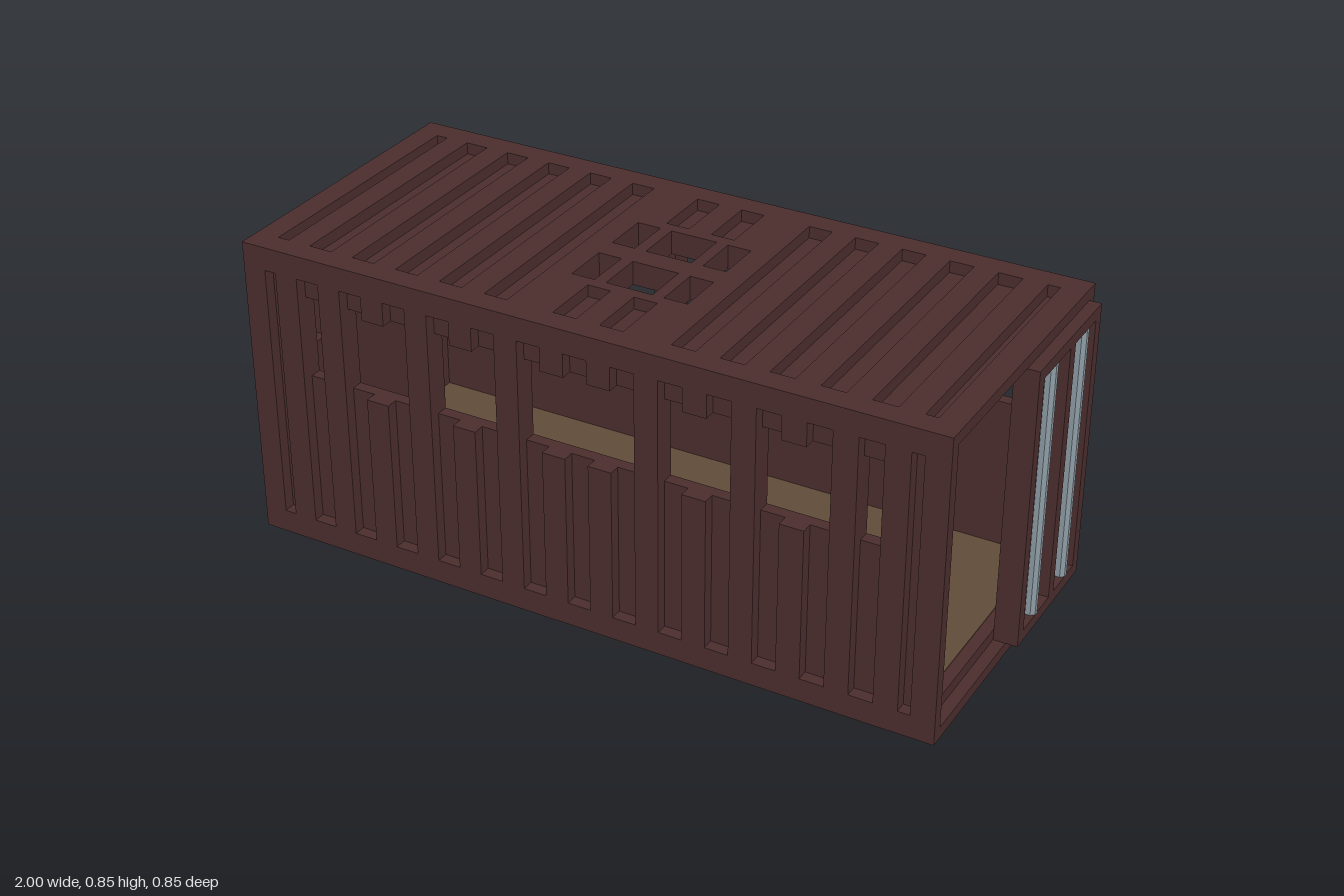
import * as THREE from 'three';
import { mergeGeometries } from 'three/addons/utils/BufferGeometryUtils.js';

// Everything sits on a module grid: 61 units long, 26 high, 26 deep.
const U = 2 / 61;
const steel = new THREE.MeshStandardMaterial({ color: 0x4c2e2e });
steel.name = 'oxide red steel';
const plywood = new THREE.MeshStandardMaterial({ color: 0x604c38 });
plywood.name = 'plywood floor';
const zinc = new THREE.MeshStandardMaterial({ color: 0x8e9ca4 });
zinc.name = 'zinc grey';

// Box between two grid coordinates on each axis.
function block([x0, x1], [y0, y1], [z0, z1]) {
  const g = new THREE.BoxGeometry((x1 - x0) * U, (y1 - y0) * U, (z1 - z0) * U);
  return g.translate((x0 + x1) / 2 * U - 1, (y0 + y1) / 2 * U, ((z0 + z1) / 2 - 13) * U);
}

// Flat layer with rectangular holes [a0, a1, b0, b1], built as vertical strips.
// place(a, b) turns the layer's two ranges into a block.
function layer([a0, a1], [b0, b1], holes, place) {
  const cuts = [...new Set([a0, a1, ...holes.flatMap(h => [h[0], h[1]])])].sort((p, q) => p - q);
  const parts = [];
  for (let i = 0; i < cuts.length - 1; i++) {
    const mid = (cuts[i] + cuts[i + 1]) / 2;
    const gaps = holes.filter(h => h[0] < mid && mid < h[1]).sort((p, q) => p[2] - q[2]);
    let from = b0;
    for (const h of gaps) {
      if (h[2] > from) parts.push(place([cuts[i], cuts[i + 1]], [from, h[2]]));
      from = Math.max(from, h[3]);
    }
    if (from < b1) parts.push(place([cuts[i], cuts[i + 1]], [from, b1]));
  }
  return parts;
}

export function createModel() {
  const model = new THREE.Group();
  const add = (name, parts, material) => {
    const mesh = new THREE.Mesh(mergeGeometries(parts), material);
    mesh.name = name;
    model.add(mesh);
  };

  // Corrugation grooves along the length, with narrow ones at both ends
  const grooves = [[2, 3], [57, 58]];
  for (let a = 5; a <= 53; a += 4) grooves.push([a, a + 2]);
  const fullHeight = ([a, b]) => [a, b, 2, 24];

  // Long side walls: window openings go through both layers
  const sideWindows = [[5, 7], [9, 15], [17, 23], [25, 35], [37, 43], [45, 51], [53, 55]]
    .map(([a, b]) => [a, b, 15, 22]);
  const sideGrooves = grooves.map(fullHeight);
  for (const [name, outer, inner] of [['backWall', [0, 1], [1, 2]], ['frontWall', [25, 26], [24, 25]]]) {
    add(name, [
      ...layer([0, 59], [0, 26], [...sideGrooves, ...sideWindows], (a, b) => block(a, b, outer)),
      ...layer([0, 59], [0, 26], sideWindows, (a, b) => block(a, b, inner)),
    ], steel);
  }

  // Closed end wall
  const endWindows = [[5, 7], [9, 17], [19, 21]].map(([a, b]) => [a, b, 15, 22]);
  const endGrooves = [[2, 3], [5, 7], [9, 11], [15, 17], [19, 21], [23, 24]].map(fullHeight);
  add('endWall', [
    ...layer([2, 24], [2, 24], [...endGrooves, ...endWindows], (a, b) => block([0, 1], b, a)),
    ...layer([2, 24], [2, 24], endWindows, (a, b) => block([1, 2], b, a)),
  ], steel);

  // Roof with a skylight grid in the middle and short grooves around it
  const skylights = [];
  for (const [a, b] of [[25, 27], [28, 32], [33, 35]]) {
    skylights.push([a, b, 8, 12], [a, b, 14, 18]);
  }
  const roofGrooves = grooves.filter(([a, b]) => b <= 23 || a >= 37).map(fullHeight);
  for (const a of [27, 31]) roofGrooves.push([a, a + 2, 2, 7], [a, a + 2, 19, 24]);
  add('roof', [
    ...layer([0, 59], [2, 24], [...roofGrooves, ...skylights], (a, b) => block(a, [25, 26], b)),
    ...layer([0, 59], [2, 24], skylights, (a, b) => block(a, [24, 25], b)),
  ], steel);

  // Base and floor covering
  add('base', [block([0, 59], [0, 2], [2, 24])], steel);
  add('floor', [block([2, 58], [2, 2.1], [2, 24])], plywood);

  // Stepped rim around the door end
  add('doorFrame', layer([0, 26], [0, 26], [[1, 25, 1, 25]], (a, b) => block([59, 60], b, a)), steel);

  // Single closed door leaf with two recessed panels; the other half is open
  add('door', [
    block([59, 60], [1, 25], [1, 13]),
    ...layer([1, 13], [1, 25], [[2, 6, 2, 24], [7, 12, 2, 24]], (a, b) => block([60, 61], b, a)),
  ], steel);

  // Locking bars in the door recesses
  for (const z of [3.5, 9.5]) {
    const bar = new THREE.CylinderGeometry(0.54 * U, 0.54 * U, 22 * U, 8, 1, false, Math.PI / 8);
    bar.translate(60.5 * U - 1, 13 * U, (z - 13) * U);
    add('lockingBar', [bar.toNonIndexed()], zinc);
    bar.computeVertexNormals();
    model.children.at(-1).geometry.computeVertexNormals();
  }
  return model;
}
